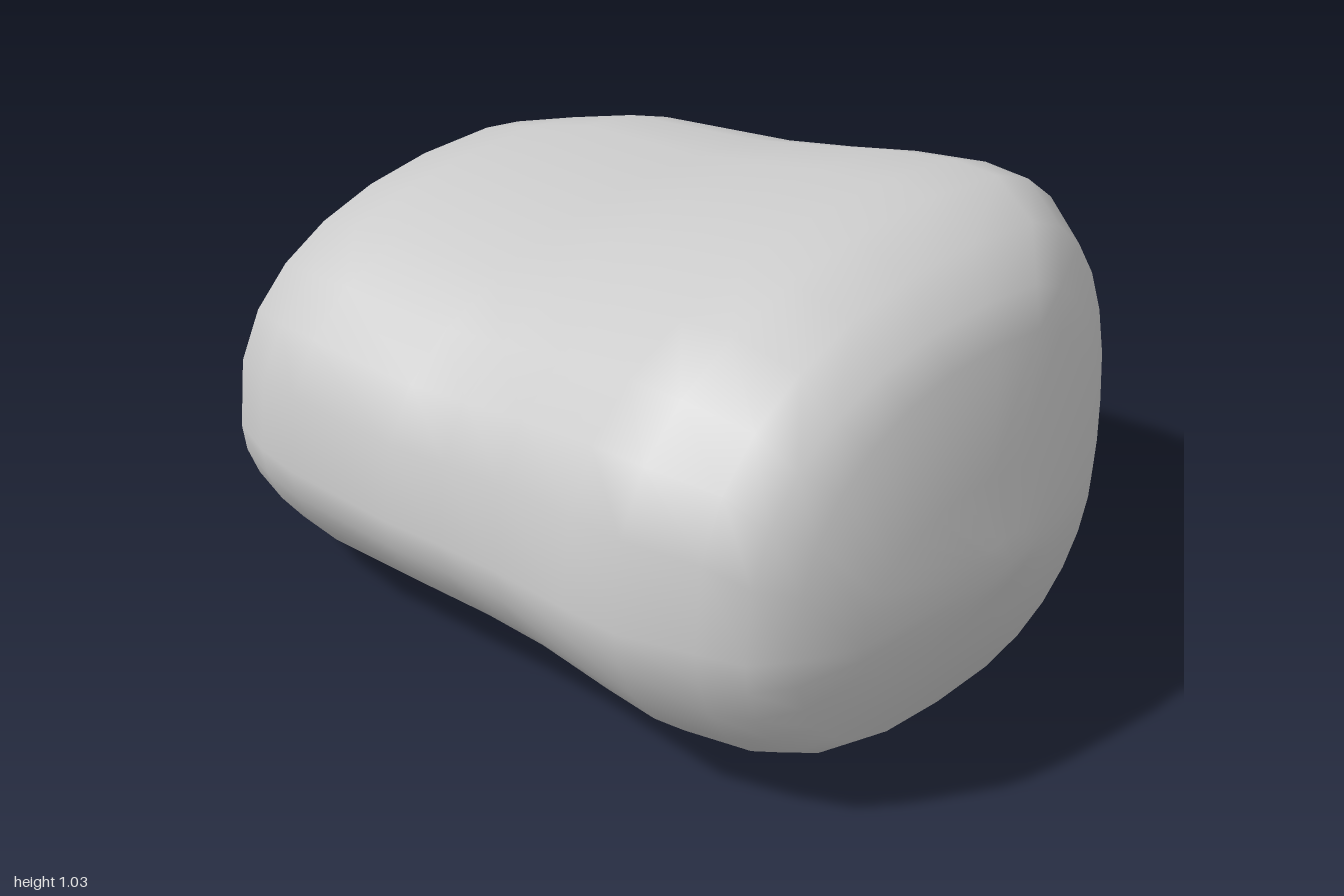
import * as THREE from 'three';

// Cross-sections along x: [x, bottom y, top y, front z, back z]
const SECTIONS = [
  [-0.985, 0.32, 0.42, 0.32, -0.13],
  [-0.95, 0.23, 0.53, 0.41, -0.23],
  [-0.89, 0.10, 0.71, 0.54, -0.36],
  [-0.73, 0.025, 0.865, 0.69, -0.555],
  [-0.6, 0.01, 0.893, 0.735, -0.645],
  [-0.46, 0.005, 0.92, 0.765, -0.715],
  [-0.15, 0, 0.915, 0.765, -0.80],
  [0.02, 0, 0.94, 0.765, -0.81],
  [0.2, 0, 0.975, 0.775, -0.81],
  [0.42, 0, 1.02, 0.80, -0.755],
  [0.57, 0.005, 1.035, 0.81, -0.69],
  [0.73, 0.025, 1.0, 0.755, -0.55],
  [0.82, 0.07, 0.92, 0.715, -0.41],
  [0.88, 0.11, 0.86, 0.64, -0.31],
  [0.95, 0.28, 0.63, 0.53, -0.09],
  [0.985, 0.40, 0.51, 0.26, 0.05],
];
const AROUND = 28;

// Flatness [across, up] of each quadrant of a section
function fullness(x, upper, forward) {
  if (upper) return forward ? [2.2, 2.6] : [2.6 + 0.9 * x, 2];
  return forward ? [2.6 + x * x, 1.8] : [2.9, 1.8];
}

// Rounded-square outline, easing to an ellipse at both ends
function sectionPoint([x, bottom, top, front, back], angle) {
  const c = Math.cos(angle), s = Math.sin(angle);
  const upper = s >= 0, forward = c >= 0;
  const [p, q] = fullness(x, upper, forward).map((n) => THREE.MathUtils.lerp(n, 2, x ** 10));
  const lean = (upper ? -0.12 : 0.03) * (front - back);
  const zc = (front + back) / 2 + lean;
  const yc = bottom + (top - bottom) * (forward ? 0.4 : 0.46);
  const u = Math.abs(c) ** (2 / p), v = Math.abs(s) ** (2 / q);
  return [
    x,
    yc + v * (upper ? top - yc : bottom - yc),
    zc + u * (forward ? front - zc : back - zc),
  ];
}

export function createModel() {
  const positions = [], index = [];
  for (const section of SECTIONS) {
    for (let j = 0; j < AROUND; j++) {
      positions.push(...sectionPoint(section, (j / AROUND) * Math.PI * 2));
    }
  }

  // End points
  const last = (SECTIONS.length - 1) * AROUND;
  const rightTip = SECTIONS.length * AROUND, leftTip = rightTip + 1;
  positions.push(-1, 0.37, 0.18, 1, 0.46, 0.13);

  for (let j = 0; j < AROUND; j++) {
    const k = (j + 1) % AROUND;
    for (let i = 0; i < last; i += AROUND) {
      const a = i + j, b = i + k, c = a + AROUND, d = b + AROUND;
      index.push(a, c, b, b, c, d);
    }
    index.push(rightTip, j, k, leftTip, last + k, last + j);
  }

  const geometry = new THREE.BufferGeometry();
  geometry.setAttribute('position', new THREE.Float32BufferAttribute(positions, 3));
  geometry.setIndex(index);
  geometry.computeVertexNormals();

  const stone = new THREE.Mesh(geometry, new THREE.MeshStandardMaterial({ color: 0xcccccc }));
  stone.name = 'stone';
  const group = new THREE.Group();
  group.name = 'smoothStone';
  group.add(stone);
  return group;
}
